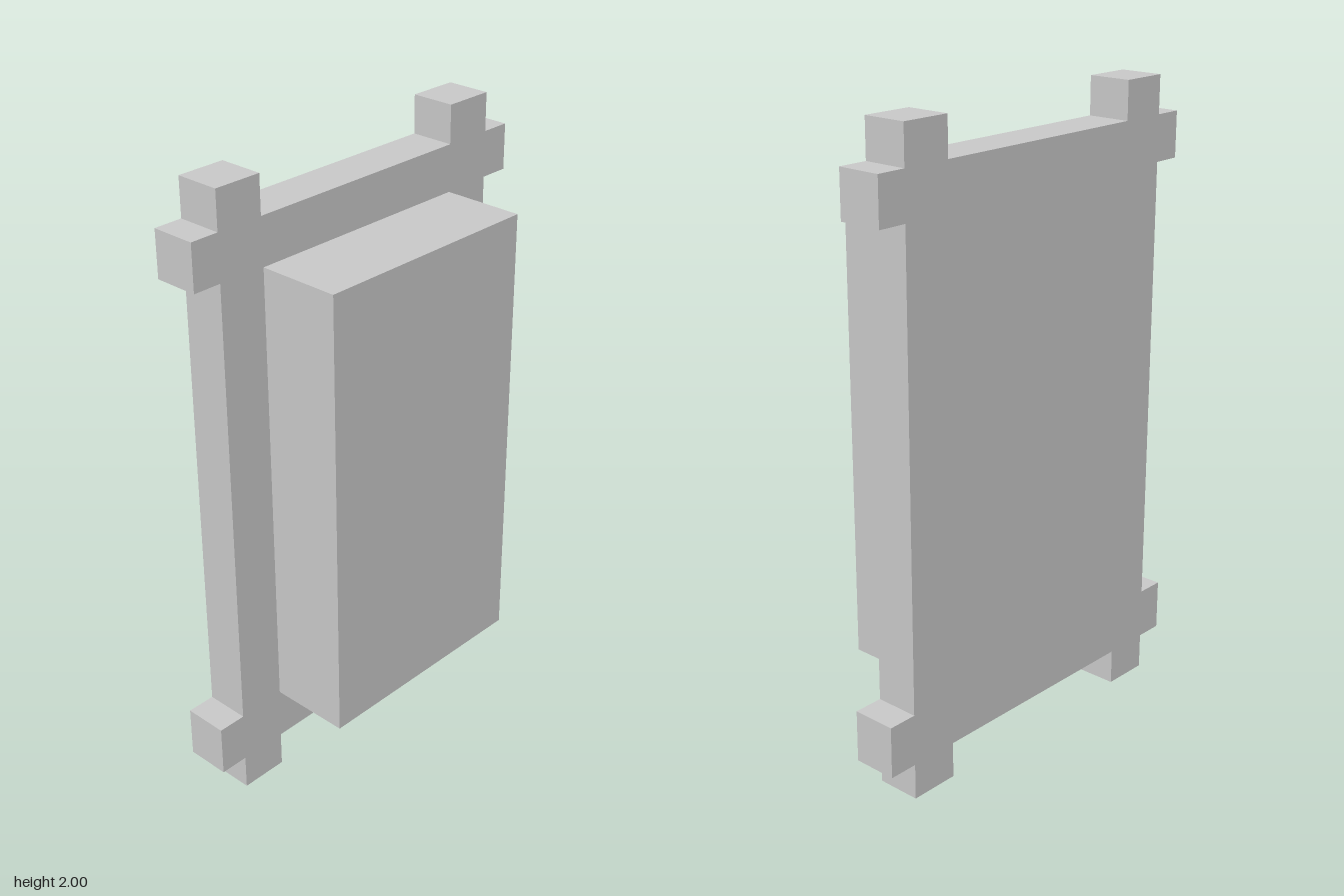
import * as THREE from 'three';

export function createModel() {
  const group = new THREE.Group();
  const material = new THREE.MeshStandardMaterial({ color: 0xcccccc, flatShading: true });
  const back = -0.202, plateFront = -0.06, panelFront = 0.202;

  // Backing frame: crossed rails and stiles whose ends stick out at each corner
  const outline = [
    [-0.545, 0], [-0.39, 0], [-0.39, 0.115], [0.38, 0.115], [0.38, 0], [0.542, 0],
    [0.542, 0.115], [0.637, 0.115], [0.637, 0.28], [0.542, 0.28],
    [0.542, 1.735], [0.637, 1.735], [0.637, 1.88], [0.542, 1.88],
    [0.542, 2], [0.38, 2], [0.38, 1.88], [-0.39, 1.88], [-0.39, 2], [-0.545, 2],
    [-0.545, 1.88], [-0.637, 1.88], [-0.637, 1.735], [-0.545, 1.735],
    [-0.545, 0.28], [-0.637, 0.28], [-0.637, 0.115], [-0.545, 0.115],
  ].map(([x, y]) => new THREE.Vector2(x, y));
  const frame = new THREE.Mesh(
    new THREE.ExtrudeGeometry(new THREE.Shape(outline), { depth: plateFront - back, bevelEnabled: false }),
    material,
  );
  frame.name = 'backFrame';
  frame.position.z = back;
  group.add(frame);

  // Raised block on the front, sitting against the frame
  const panel = new THREE.Mesh(new THREE.BoxGeometry(0.767, 1.447, panelFront - plateFront), material);
  panel.name = 'raisedPanel';
  panel.position.set(-0.004, 1.008, (panelFront + plateFront) / 2);
  group.add(panel);

  return group;
}
